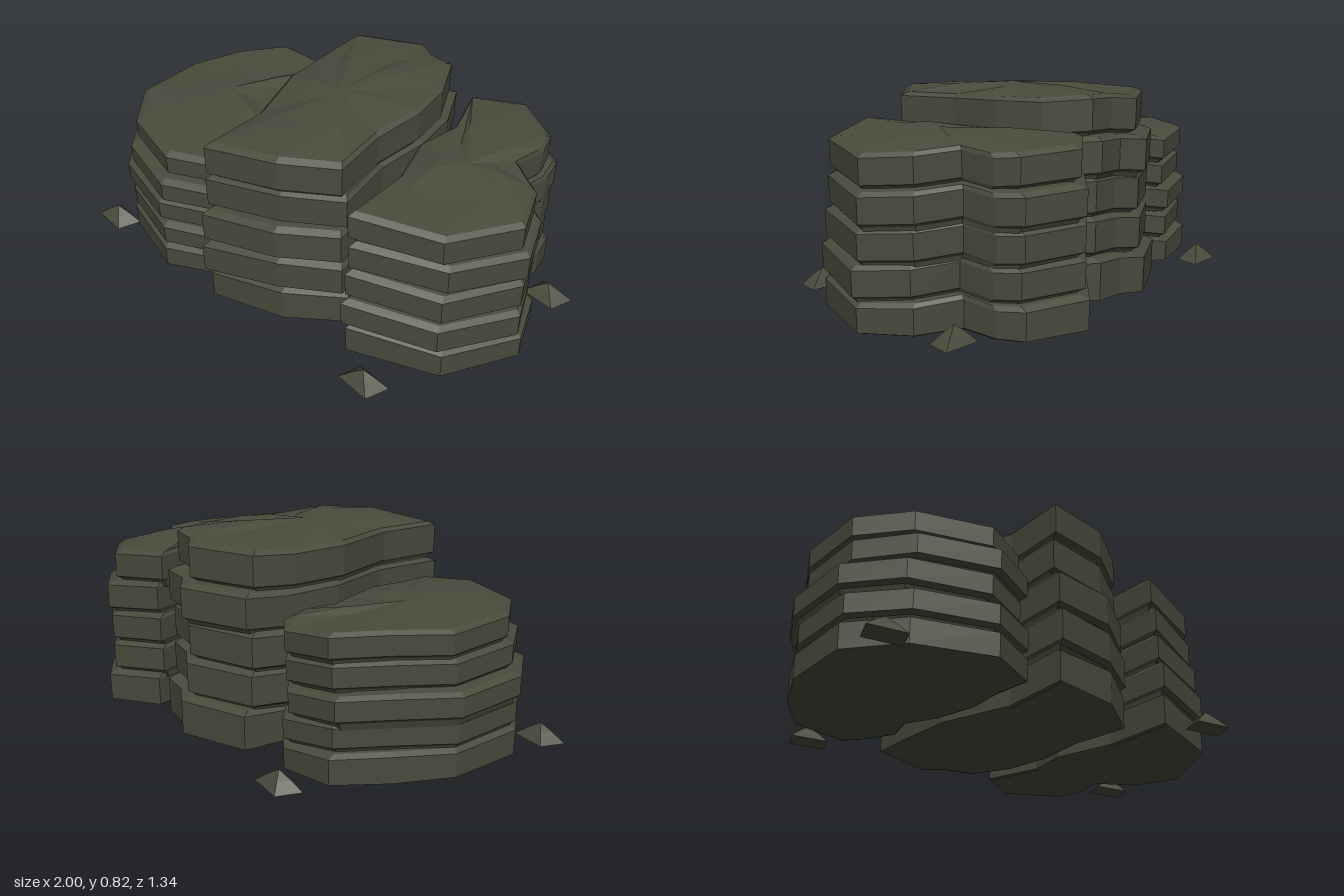
import * as THREE from 'three';

const stone = new THREE.MeshStandardMaterial({ color: 0x4a4a3c });
stone.name = 'mossy stone';
stone.flatShading = true;

// small seeded noise, -1..1
function noise(i, seed) {
  const s = Math.sin(i * 127.1 + seed * 311.7) * 43758.5453;
  return (s - Math.floor(s)) * 2 - 1;
}

// skin a list of equally long rings, bottom to top; first and last are points
function loft(rings) {
  const pos = [];
  const n = rings[0].length;
  for (let r = 0; r < rings.length - 1; r++) {
    for (let i = 0; i < n; i++) {
      const j = (i + 1) % n;
      const a0 = rings[r][i], b0 = rings[r][j], a1 = rings[r + 1][i], b1 = rings[r + 1][j];
      if (r > 0) pos.push(...b0, ...a0, ...a1);
      if (r < rings.length - 2) pos.push(...b0, ...a1, ...b1);
    }
  }
  const geo = new THREE.BufferGeometry();
  geo.setAttribute('position', new THREE.Float32BufferAttribute(pos, 3));
  geo.computeVertexNormals();
  return geo;
}

// outlines run clockwise seen from above, as [x, z]; shifts are [x, z], lowest slab first
const stacks = [
  {
    name: 'leftStack', centre: [-0.6, 0], top: 0.572, tilt: [-0.04, -0.01], seed: 1,
    shift: [[0, 0], [0.005, 0.01], [-0.02, 0], [0.015, 0.01], [0.02, -0.01]],
    outline: [[-0.66, -0.5], [-0.42, -0.52], [-0.355, -0.45], [-0.3, -0.31], [-0.345, -0.18],
      [-0.29, -0.04], [-0.26, 0.14], [-0.285, 0.3], [-0.285, 0.47], [-0.5, 0.555],
      [-0.8, 0.43], [-0.95, 0.22], [-0.93, -0.1], [-0.81, -0.32]],
  },
  {
    name: 'middleStack', centre: [0.02, 0], top: 0.788, tilt: [0.035, -0.025], seed: 5,
    shift: [[0.01, -0.01], [0, 0.015], [-0.005, 0.015], [0, -0.015], [0, 0.015]],
    outline: [[-0.24, -0.52], [0.06, -0.61], [0.15, -0.54], [0.275, -0.51], [0.35, -0.32],
      [0.36, -0.11], [0.315, 0.13], [0.325, 0.4], [0.09, 0.53], [-0.245, 0.59],
      [-0.21, 0.28], [-0.285, -0.05], [-0.27, -0.32]],
  },
  {
    name: 'rightStack', centre: [0.61, 0], top: 0.675, tilt: [-0.07, 0], seed: 9,
    shift: [[0.012, -0.01], [0, 0.01], [0, -0.005], [0.01, -0.015], [-0.01, 0]],
    outline: [[0.35, -0.5], [0.565, -0.61], [0.77, -0.46], [0.785, -0.35], [0.75, -0.19],
      [0.9, -0.07], [0.965, 0.14], [0.77, 0.43], [0.39, 0.54], [0.42, 0.21],
      [0.36, -0.05], [0.415, -0.24]],
  },
];

// slab width against the outline, lowest first
const sizes = [0.97, 0.965, 0.955, 0.94, 0.92];

// one slab: recessed underside, bevelled wall, gently domed top
function slab(stack, k) {
  const { outline, centre: [cx, cz], tilt, seed } = stack;
  const [dx, dz] = stack.shift[k];
  const pitch = (stack.top - 0.015) / sizes.length;
  const y0 = 0.015 + k * pitch, y1 = y0 + pitch;
  const ring = (scale, y, sway, rough = 0) => outline.map(([x, z], i) => {
    const s = scale * sizes[k] * (1 + 0.015 * noise(i, seed + k * 7));
    const px = (x - cx) * s, pz = (z - cz) * s;
    const wave = px * tilt[0] + pz * tilt[1] + 0.012 * scale * noise(i, seed);
    return [cx + dx + px, y + wave * sway + rough * noise(i, seed + 40 + k), cz + dz + pz];
  });
  const ground = k === 0;
  const low = ground ? 0.4 : 1;
  const base = ground ? y0 : y0 - 0.02;
  return loft([
    ring(0, base, 0),
    ring(0.92, base, low),
    ring(0.95, ground ? y0 : y0 + 0.008, low),
    ring(0.995, ground ? y0 + 0.006 : y0 + 0.02, low),
    ring(1, y1 - 0.015, 1),
    ring(0.94, y1, 1),
    ring(0.5, y1 + 0.018, 1, 0.01),
    ring(0, y1 + 0.03, 0),
  ]);
}

// low four-sided chip of rock
function pebbleGeometry() {
  const base = [[-0.05, -0.065], [0.1, -0.03], [0.055, 0.065], [-0.095, 0.03]];
  const ring = (s, y) => base.map(([x, z]) => [x * s, y, z * s]);
  return loft([ring(0, 0), ring(1, 0), ring(0.5, 0.037), ring(0, 0.068)]);
}

export function createModel() {
  const group = new THREE.Group();
  group.name = 'layeredRocks';

  for (const stack of stacks) {
    const part = new THREE.Group();
    part.name = stack.name;
    sizes.forEach((_, k) => {
      const mesh = new THREE.Mesh(slab(stack, k), stone);
      mesh.name = 'slab' + (k + 1);
      part.add(mesh);
    });
    group.add(part);
  }

  // loose chips around the foot
  const chip = pebbleGeometry();
  [[-0.525, -0.605], [0.895, -0.24], [-0.905, 0.43], [0.555, 0.6]].forEach(([x, z], i) => {
    const mesh = new THREE.Mesh(chip, stone);
    mesh.name = 'pebble' + (i + 1);
    mesh.position.set(x, 0.015, z);
    group.add(mesh);
  });
  return group;
}
